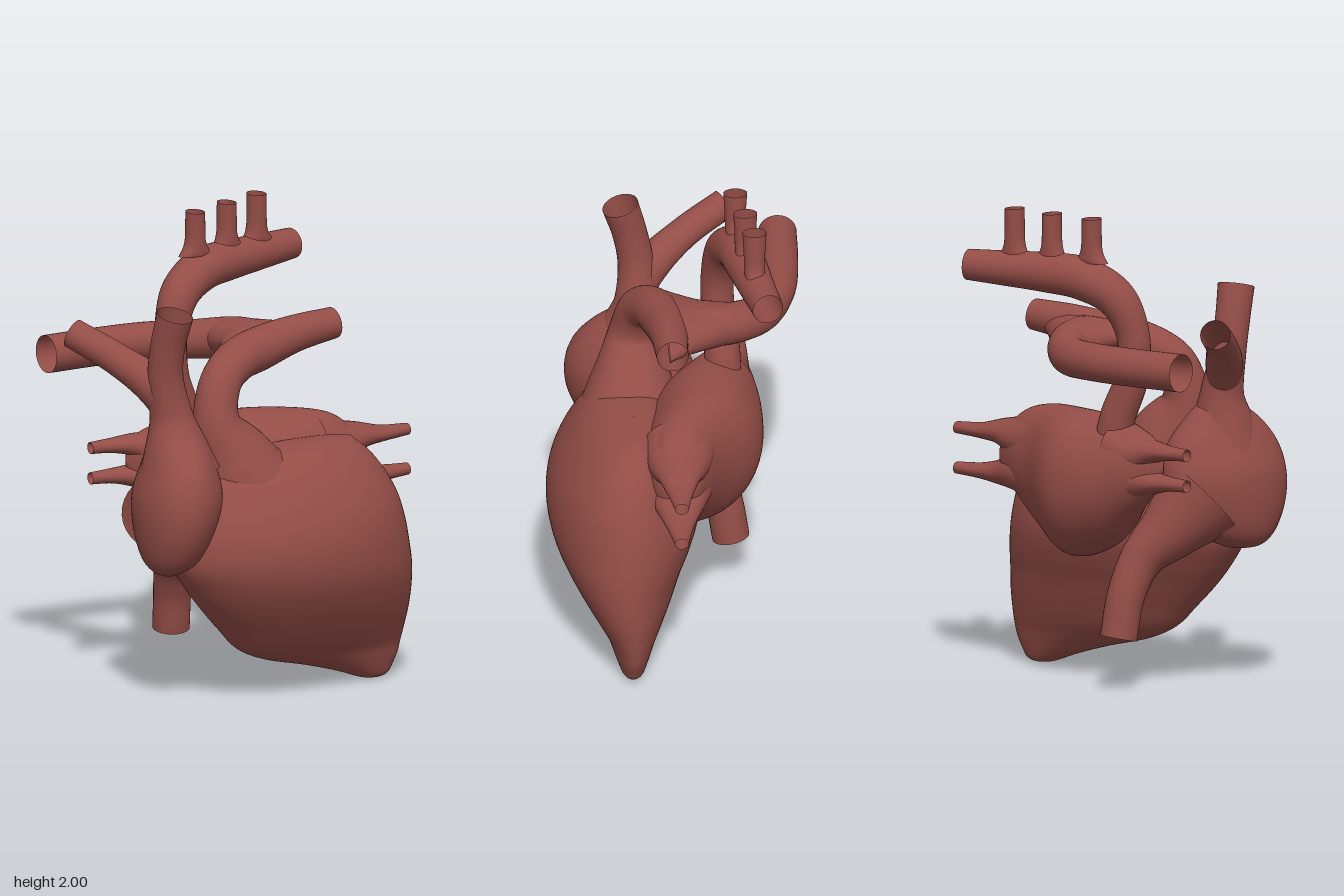
import * as THREE from 'three';

const tissue = new THREE.MeshStandardMaterial({ color: 0x944d47, side: THREE.DoubleSide });
tissue.name = 'muscle red';

const V = (x, y, z) => new THREE.Vector3(x, y, z);

function part(name, geometry, group) {
  const mesh = new THREE.Mesh(geometry, tissue);
  mesh.name = name;
  group.add(mesh);
  return mesh;
}

// Closed organic body: elliptical rings [x, y, z, a, b] spread along U and W
function loft(sections, U, W, rings = 64, sides = 64) {
  const centres = new THREE.CatmullRomCurve3(sections.map(s => V(s[0], s[1], s[2])), false, 'catmullrom', 0.5);
  const radii = new THREE.CatmullRomCurve3(sections.map(s => V(s[3], s[4], 0)), false, 'catmullrom', 0.5);
  const pos = [], index = [];
  for (let i = 0; i <= rings; i++) {
    const c = centres.getPoint(i / rings), r = radii.getPoint(i / rings);
    for (let j = 0; j < sides; j++) {
      const a = (j / sides) * Math.PI * 2;
      const p = c.clone()
        .addScaledVector(U, Math.max(r.x, 0.0005) * Math.cos(a))
        .addScaledVector(W, Math.max(r.y, 0.0005) * Math.sin(a));
      pos.push(p.x, p.y, p.z);
      if (i === rings) continue;
      const k = i * sides + j, n = i * sides + (j + 1) % sides;
      index.push(k, n, k + sides, n, n + sides, k + sides);
    }
  }
  const g = new THREE.BufferGeometry();
  g.setAttribute('position', new THREE.Float32BufferAttribute(pos, 3));
  g.setIndex(index);
  g.computeVertexNormals();
  return g;
}

// Open vessel through points [x, y, z, radius, optional widening in z]
function vessel(points, segs = 48, sides = 32) {
  const curve = new THREE.CatmullRomCurve3(points.map(p => V(p[0], p[1], p[2])));
  const widths = new THREE.CatmullRomCurve3(points.map((p, i) => V(p[3], i, p[4] ?? 1)), false, 'catmullrom', 0.5);
  const g = new THREE.TubeGeometry(curve, segs, 1, sides);
  const pos = g.attributes.position, nor = g.attributes.normal;
  for (let i = 0; i <= segs; i++) {
    const c = curve.getPointAt(i / segs);
    const w = widths.getPoint(curve.getUtoTmapping(i / segs));
    for (let j = 0; j <= sides; j++) {
      const k = i * (sides + 1) + j;
      pos.setXYZ(k, c.x + nor.getX(k) * w.x, c.y + nor.getY(k) * w.x, c.z + nor.getZ(k) * w.x * w.z);
    }
  }
  // Recompute for the flare, then weld the normals along the seam
  g.computeVertexNormals();
  for (let i = 0; i <= segs; i++) {
    const a = i * (sides + 1), b = a + sides;
    const n = V(nor.getX(a) + nor.getX(b), nor.getY(a) + nor.getY(b), nor.getZ(a) + nor.getZ(b)).normalize();
    nor.setXYZ(a, n.x, n.y, n.z);
    nor.setXYZ(b, n.x, n.y, n.z);
  }
  return g;
}

export function createModel() {
  const heart = new THREE.Group();
  heart.name = 'heart';
  const X = V(1, 0, 0), Y = V(0, 1, 0), Z = V(0, 0, 1);

  // Ventricles, from the apex up
  part('ventricles', loft([
    [0.49, 0.0, 0.2, 0, 0],
    [0.485, 0.006, 0.2, 0.028, 0.048],
    [0.472, 0.022, 0.2, 0.046, 0.088],
    [0.44, 0.052, 0.2, 0.062, 0.138],
    [0.37, 0.1, 0.2, 0.085, 0.232],
    [0.275, 0.15, 0.2, 0.112, 0.34],
    [0.215, 0.21, 0.205, 0.15, 0.41],
    [0.175, 0.3, 0.215, 0.2, 0.46],
    [0.13, 0.4, 0.225, 0.25, 0.505],
    [0.09, 0.5, 0.225, 0.295, 0.54],
    [0.055, 0.6, 0.22, 0.32, 0.56],
    [0.045, 0.7, 0.22, 0.315, 0.55],
    [0.045, 0.8, 0.22, 0.285, 0.52],
    [0.045, 0.9, 0.21, 0.24, 0.47],
    [0.045, 0.98, 0.2, 0.185, 0.41],
    [0.08, 1.03, 0.19, 0.12, 0.32],
    [0.14, 1.05, 0.18, 0.06, 0.22],
    [0.15, 1.055, 0.18, 0, 0],
  ], Z, X, 102, 72), heart);

  // Left atrium, from the model's right to its left
  part('leftAtrium', loft([
    [-0.46, 0.96, -0.24, 0, 0],
    [-0.42, 0.96, -0.235, 0.1, 0.05],
    [-0.3, 0.93, -0.205, 0.18, 0.13],
    [-0.12, 0.86, -0.14, 0.275, 0.23],
    [0.08, 0.835, -0.1, 0.31, 0.245],
    [0.28, 0.87, -0.02, 0.265, 0.18],
    [0.42, 0.905, 0.005, 0.19, 0.13],
    [0.51, 0.905, 0.007, 0.1, 0.075],
    [0.54, 0.905, 0.007, 0, 0],
  ], Y, Z), heart);

  // Right atrium, long axis turned towards the back
  const turn = 0.4;
  part('rightAtrium', loft([
    [-0.55, 0.575, 0.2, 0, 0],
    [-0.545, 0.59, 0.2, 0.09, 0.06],
    [-0.52, 0.65, 0.19, 0.18, 0.125],
    [-0.49, 0.77, 0.17, 0.265, 0.17],
    [-0.472, 0.9, 0.165, 0.285, 0.185],
    [-0.465, 1.02, 0.165, 0.25, 0.155],
    [-0.465, 1.12, 0.16, 0.17, 0.115],
    [-0.465, 1.18, 0.145, 0.09, 0.08],
    [-0.465, 1.2, 0.14, 0, 0],
  ], V(-Math.sin(turn), 0, Math.cos(turn)), V(Math.cos(turn), 0, Math.sin(turn)), 64, 56), heart);

  // Pulmonary trunk rising from the ventricles, its fork, and the branch to the back
  part('pulmonaryTrunk', vessel([
    [-0.12, 0.84, 0.18, 0.25], [-0.21, 1.03, 0.175, 0.172], [-0.28, 1.19, 0.17, 0.102],
    [-0.24, 1.34, 0.14, 0.088], [-0.13, 1.41, 0.09, 0.09], [0.02, 1.44, 0.05, 0.092],
    [0.2, 1.475, 0.035, 0.078], [0.4, 1.495, 0.03, 0.066],
  ], 72), heart);
  part('pulmonaryFork', loft([
    [0.1, 1.46, 0.04, 0.05, 0.28], [0.09, 1.455, -0.03, 0.07, 0.215], [0.075, 1.445, -0.1, 0.08, 0.16],
    [0.05, 1.435, -0.18, 0.084, 0.118], [0.03, 1.43, -0.25, 0.08, 0.085],
  ], Y, X, 24, 40), heart);
  part('rightPulmonaryArtery', vessel([
    [0.09, 1.45, -0.06, 0.08], [0.05, 1.432, -0.2, 0.088],
    [-0.06, 1.41, -0.35, 0.082], [-0.24, 1.41, -0.43, 0.08], [-0.46, 1.41, -0.455, 0.08], [-0.71, 1.41, -0.46, 0.08],
  ], 64), heart);

  // Aorta with its arch
  part('aorta', vessel([
    [-0.16, 0.98, -0.21, 0.075], [-0.2, 1.15, -0.205, 0.075], [-0.26, 1.32, -0.19, 0.07],
    [-0.265, 1.5, -0.19, 0.07], [-0.2, 1.65, -0.22, 0.083], [-0.06, 1.725, -0.265, 0.09],
    [0.1, 1.74, -0.295, 0.084], [0.28, 1.745, -0.33, 0.074], [0.455, 1.75, -0.365, 0.065],
  ], 80), heart);

  // Three upright branches, flaring along the arch only
  [[-0.1, 1.98, -0.255], [0.08, 1.99, -0.288], [0.25, 2.0, -0.318]].forEach(([x, top, z], i) => {
    part('aorticBranch' + (i + 1), vessel([
      [x, 1.795, z, 0.08, 0.5], [x, 1.825, z, 0.056, 0.78], [x, 1.86, z, 0.044, 1.0],
      [x, 1.92, z, 0.04, 1.15], [x, top, z, 0.037, 1.35],
    ], 24, 28), heart);
  });

  // Upper and lower great veins of the right atrium
  part('upperVenaCava', vessel([
    [-0.465, 1.0, 0.17, 0.17], [-0.475, 1.12, 0.155, 0.128], [-0.485, 1.23, 0.14, 0.092],
    [-0.515, 1.4, 0.14, 0.076], [-0.52, 1.54, 0.165, 0.073], [-0.51, 1.68, 0.205, 0.077],
  ]), heart);
  part('upperVenaCavaBranch', vessel([
    [-0.49, 1.24, 0.14, 0.06], [-0.54, 1.36, 0.08, 0.078], [-0.63, 1.46, -0.06, 0.067], [-0.725, 1.545, -0.24, 0.063],
  ]), heart);
  part('lowerVenaCava', vessel([
    [-0.44, 0.8, 0.06, 0.2], [-0.36, 0.67, -0.05, 0.135], [-0.28, 0.55, -0.145, 0.092],
    [-0.245, 0.4, -0.21, 0.08], [-0.23, 0.222, -0.243, 0.078],
  ]), heart);

  // Lung veins, two on each side of the left atrium
  [[0.985, 0.98, 'Upper'], [0.815, 0.835, 'Lower']].forEach(([y, base, label]) => {
    part('left' + label + 'LungVein', vessel([
      [0.3, base, 0.0, 0.14, 1.1], [0.43, base, 0.005, 0.095, 1.35], [0.54, y + 0.006, 0.008, 0.056, 1.6],
      [0.65, y, 0.01, 0.034, 1.65], [0.785, y, 0.01, 0.025, 1.15],
    ], 36, 28), heart);
  });
  [[1.03, 1.0, 'Upper'], [0.9, 0.89, 'Lower']].forEach(([y, base, label]) => {
    part('right' + label + 'LungVein', vessel([
      [-0.22, base, -0.2, 0.13], [-0.32, base, -0.225, 0.085, 1.2], [-0.42, y - 0.005, -0.252, 0.048, 1.4],
      [-0.51, y, -0.27, 0.031, 1.4], [-0.61, y, -0.28, 0.025],
    ], 36, 28), heart);
  });

  return heart;
}
